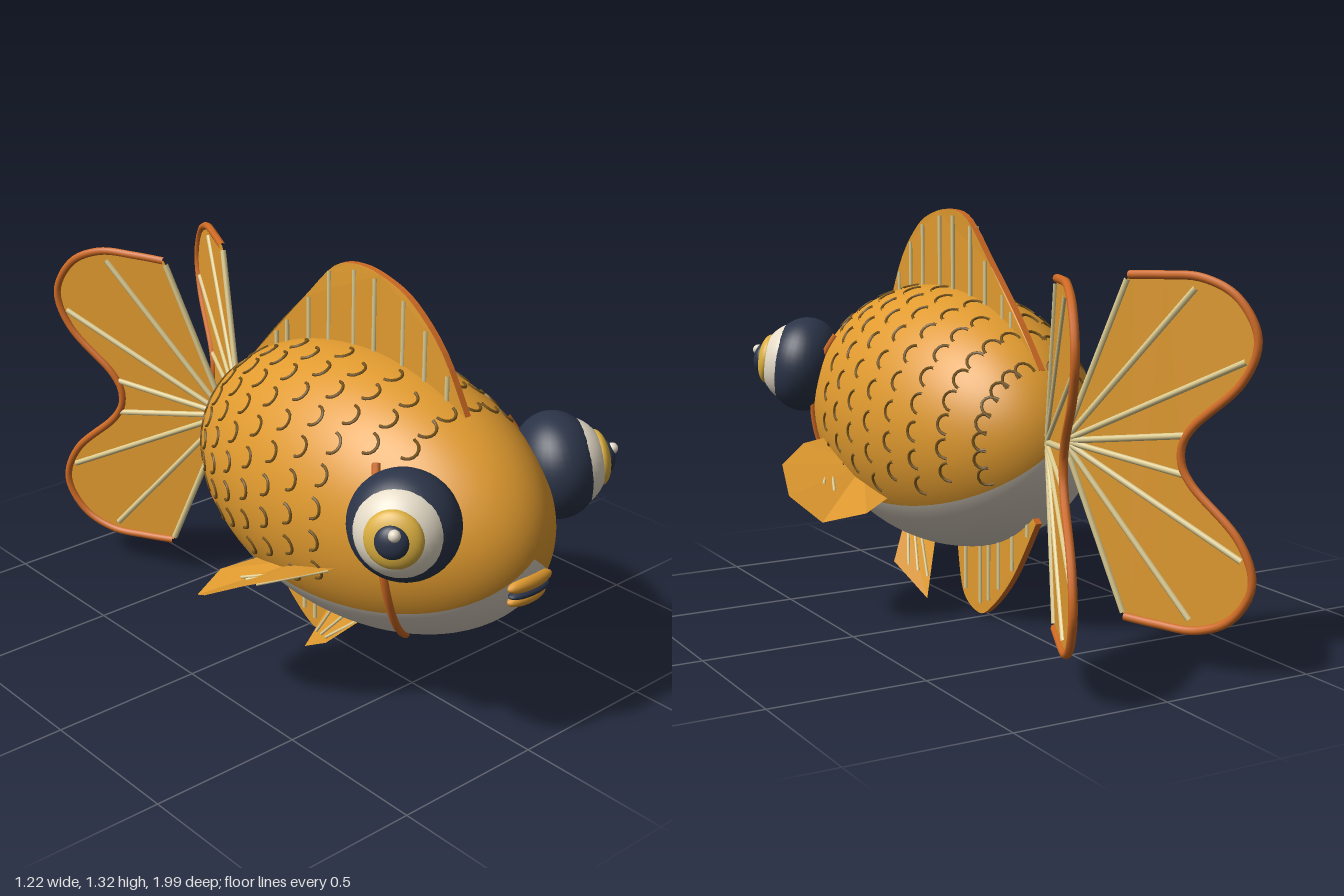
import * as THREE from 'three';
import { mergeGeometries } from 'three/addons/utils/BufferGeometryUtils.js';

const mat = (name, color, side = THREE.FrontSide) => {
  const m = new THREE.MeshStandardMaterial({ color, side });
  m.name = name;
  return m;
};
const V = (x, y, z) => new THREE.Vector3(x, y, z);
const CENTER = V(0, 0.635, 0.285);
const RADII = V(0.39, 0.435, 0.695);

// Point on the body at a given z; angle is measured up from the side
function onBody(z, angle, side, lift = 1) {
  const k = Math.sqrt(Math.max(0, 1 - ((z - CENTER.z) / RADII.z) ** 2)) * lift;
  return V(side * RADII.x * k * Math.cos(angle), CENTER.y + RADII.y * k * Math.sin(angle), z);
}

const tube = (pts, r, segs = 24, sides = 8) =>
  new THREE.TubeGeometry(new THREE.CatmullRomCurve3(pts), segs, r, sides, false);

const smooth = (pts, n = 32) =>
  new THREE.SplineCurve(pts.map(p => new THREE.Vector2(...p))).getPoints(n);

export function createModel() {
  const model = new THREE.Group();
  model.name = 'goggleEyedFish';
  const orange = mat('fishOrange', 0xe09a2f, THREE.DoubleSide);
  const cream = mat('bellyCream', 0xd8cfc0);
  const white = mat('eyeWhite', 0xe4dac6);
  const navy = mat('navy', 0x2b3448);
  const gold = mat('irisGold', 0xdcb040);
  const trim = mat('finTrim', 0xcf6a24);
  const rayMat = mat('finRay', 0xdccb90);
  const brown = mat('scaleBrown', 0x77551c);

  const add = (name, geo, material, parent = model) => {
    const m = new THREE.Mesh(geo, material);
    m.name = name;
    parent.add(m);
    return m;
  };
  const rod = (name, a, b, r, parent) => add(name, tube([a, b], r, 1, 8), rayMat, parent);
  const group = name => {
    const g = new THREE.Group();
    g.name = name;
    model.add(g);
    return g;
  };

  // Body: an ellipsoid with poles at nose and tail, split into back and belly wedges
  for (const [name, start, length, m] of [['back', 0.8, 1.4, orange], ['belly', 0.2, 0.6, cream]]) {
    const g = new THREE.SphereGeometry(1, name === 'back' ? 56 : 24, 48, start * Math.PI, length * Math.PI);
    g.rotateX(Math.PI / 2).scale(RADII.x, RADII.y, RADII.z).translate(CENTER.x, CENTER.y, CENTER.z);
    add(name, g, m);
  }

  // Scales: small arcs laid on the body in staggered rings
  const scales = [];
  for (let i = 0; i < 10; i++) {
    const z = -0.3 + i * 0.108;
    for (let j = 0; j < 8; j++) {
      const deg = -24 + j * 14 + (i % 2) * 7;
      if (deg > 82 || (z > 0.5 && deg < 42) || (z > 0.6 && deg < 50)) continue;
      const a = THREE.MathUtils.degToRad(deg);
      const k = Math.sqrt(1 - ((z - CENTER.z) / RADII.z) ** 2);
      const perRadian = k * Math.hypot(RADII.x * Math.sin(a), RADII.y * Math.cos(a));
      for (const s of [1, -1]) {
        const pts = [];
        for (let n = 0; n <= 6; n++) {
          const t = (n / 6 - 0.5) * Math.PI;
          pts.push(onBody(z + 0.032 * Math.cos(t) - 0.016, a + 0.032 * Math.sin(t) / perRadian, s, 1.003));
        }
        scales.push(tube(pts, 0.005, 8, 5));
      }
    }
  }
  add('scales', mergeGeometries(scales), brown);

  // Mouth
  for (const [name, y, z, w, h, d, m] of [
    ['upperLip', 0.56, 0.968, 0.09, 0.025, 0.026, orange],
    ['lowerLip', 0.508, 0.958, 0.077, 0.023, 0.026, orange],
    ['mouthGap', 0.532, 0.966, 0.082, 0.016, 0.028, navy]]) {
    add(name, new THREE.SphereGeometry(1, 24, 14).scale(w, h, d), m).position.set(0, y, z);
  }

  for (const s of [1, -1]) {
    const side = s > 0 ? 'left' : 'right';

    // Eye: flattened balls stacked along an outward axis [name, offset, radius, half depth]
    const eye = group(side + 'Eye');
    eye.position.set(s * 0.313, 0.766, 0.768);
    eye.quaternion.setFromUnitVectors(V(0, 0, 1), V(s * 0.82, 0.13, 0.55).normalize());
    for (const [name, off, r, d, m] of [
      ['eyeSocket', 0, 0.165, 0.132, navy], ['eyeball', 0.03, 0.142, 0.125, white],
      ['iris', 0.13, 0.086, 0.036, gold], ['pupil', 0.154, 0.05, 0.03, navy]]) {
      add(name, new THREE.SphereGeometry(1, 36, 24).scale(r, r, d), m, eye).position.z = off;
    }
    add('eyeGlint', new THREE.SphereGeometry(0.018, 14, 10), white, eye).position.set(-s * 0.012, 0.025, 0.175);

    // Gill line
    const gill = [];
    for (let n = 0; n <= 12; n++) {
      const deg = -67 + n * 8.9;
      gill.push(onBody(0.69 - 0.085 * ((deg + 14) / 53) ** 2, THREE.MathUtils.degToRad(deg), s, 1.006));
    }
    add(side + 'Gill', tube(gill, 0.013, 36), trim);

    // Tail lobe: a fan swept out to the side
    const tail = group(side + 'Tail');
    const sweep = (z, y) => V(s * (0.03 + (-0.4 - z) * 0.47), y, z);
    const upper = [[-0.6, 1.165], [-0.7, 1.17], [-0.82, 1.168], [-0.925, 1.115],
      [-0.982, 1.0], [-0.935, 0.87], [-0.8, 0.735], [-0.765, 0.648]];
    const lower = upper.slice(0, -1).reverse().map(([z, y]) => [z, 1.296 - y]);
    const edge = smooth([...upper, ...lower], 64);
    const fan = new THREE.ShapeGeometry(new THREE.Shape([new THREE.Vector2(-0.39, 0.648), ...edge]));
    const p = fan.attributes.position;
    for (let i = 0; i < p.count; i++) {
      const q = sweep(p.getX(i), p.getY(i));
      p.setXYZ(i, q.x, q.y, q.z);
    }
    fan.computeVertexNormals();
    add('tailMembrane', fan, orange, tail);
    add('tailTrim', tube(edge.map(e => sweep(e.x, e.y)), 0.013, 90), trim, tail);
    for (const [z, dy] of [[-0.595, 0.505], [-0.8, 0.49], [-0.95, 0.29], [-0.785, 0.06]])
      for (const up of [1, -1])
        rod('tailRay', sweep(-0.4, 0.648), sweep(z, 0.648 + up * dy), 0.01, tail);

    // Paired fins: flat polygons
    const plate = (name, pts) => {
      const tris = [];
      for (let i = 1; i < pts.length - 1; i++)
        for (const c of [pts[0], pts[i], pts[i + 1]]) tris.push(s * c[0], c[1], c[2]);
      const g = new THREE.BufferGeometry();
      g.setAttribute('position', new THREE.Float32BufferAttribute(tris, 3));
      g.computeVertexNormals();
      add(name, g, orange);
    };
    plate(side + 'PectoralFin', [[0.3, 0.48, 0.33], [0.34, 0.545, 0.53], [0.445, 0.54, 0.49],
      [0.575, 0.5, 0.37], [0.612, 0.425, 0.23], [0.55, 0.355, 0.11], [0.42, 0.38, 0.06], [0.31, 0.41, 0.12]]);
    plate(side + 'PelvicFin', [[0.1, 0.26, 0.42], [0.2, 0.14, 0.31], [0.155, 0.042, 0.155], [0.09, 0.22, 0.22]]);
    for (let i = 0; i < 4; i++) {
      rod(side + 'PectoralRay', V(s * 0.35, 0.528, 0.5),
        V(s * (0.51 - i * 0.017), 0.475 - i * 0.016, 0.35 - i * 0.045), 0.005);
    }
    for (let i = 0; i < 3; i++) {
      rod(side + 'PelvicRay', V(s * (0.11 + i * 0.005), 0.225, 0.38 - i * 0.06),
        V(s * (0.165 - i * 0.015), 0.13 - i * 0.012, 0.27 - i * 0.04), 0.005);
    }
  }

  // Middle fins: thin, gently waved slabs with a coloured rim and upright rays
  const wave = z => 0.008 + 0.01 * Math.sin(z * 6);
  const middleFin = (name, edgePts, basePts, rays) => {
    const fin = group(name);
    const outline = [...smooth(edgePts), ...basePts.map(b => new THREE.Vector2(...b))];
    const g = new THREE.ExtrudeGeometry(new THREE.Shape(outline), { depth: 0.022, bevelEnabled: false });
    g.translate(0, 0, -0.011).rotateY(-Math.PI / 2);
    const p = g.attributes.position;
    for (let i = 0; i < p.count; i++) p.setX(i, p.getX(i) + wave(p.getZ(i)));
    g.computeVertexNormals();
    add(name + 'Slab', g, [orange, trim], fin);
    for (const [z, y0, y1] of rays)
      for (const o of [-0.011, 0.011])
        rod(name + 'Ray', V(wave(z) + o, y0, z), V(wave(z) + o, y1, z), 0.008, fin);
  };
  middleFin('dorsalFin',
    [[0.7, 0.985], [0.594, 1.15], [0.46, 1.262], [0.342, 1.308], [0.22, 1.324],
      [0.11, 1.295], [-0.02, 1.166], [-0.155, 1.03], [-0.315, 0.856]],
    [[-0.28, 0.78], [0, 0.92], [0.3, 0.98], [0.6, 0.92]],
    [[0.62, 0.95, 1.09], [0.52, 1, 1.2], [0.42, 1, 1.265], [0.29, 1, 1.3], [0.2, 1, 1.305], [0.09, 1, 1.275],
      [0, 1, 1.17], [-0.1, 0.95, 1.07], [-0.15, 0.9, 1.02], [-0.28, 0.8, 0.88]]);
  middleFin('analFin',
    [[0.175, 0.2], [0.14, 0.055], [0.055, 0.004], [-0.02, 0.028], [-0.155, 0.16], [-0.3, 0.37]],
    [[-0.24, 0.42], [0, 0.3], [0.15, 0.27]],
    [[0.12, 0.26, 0.07], [0.03, 0.27, 0.04], [-0.02, 0.28, 0.06], [-0.08, 0.3, 0.11],
      [-0.16, 0.33, 0.19], [-0.25, 0.38, 0.32]]);

  return model;
}
